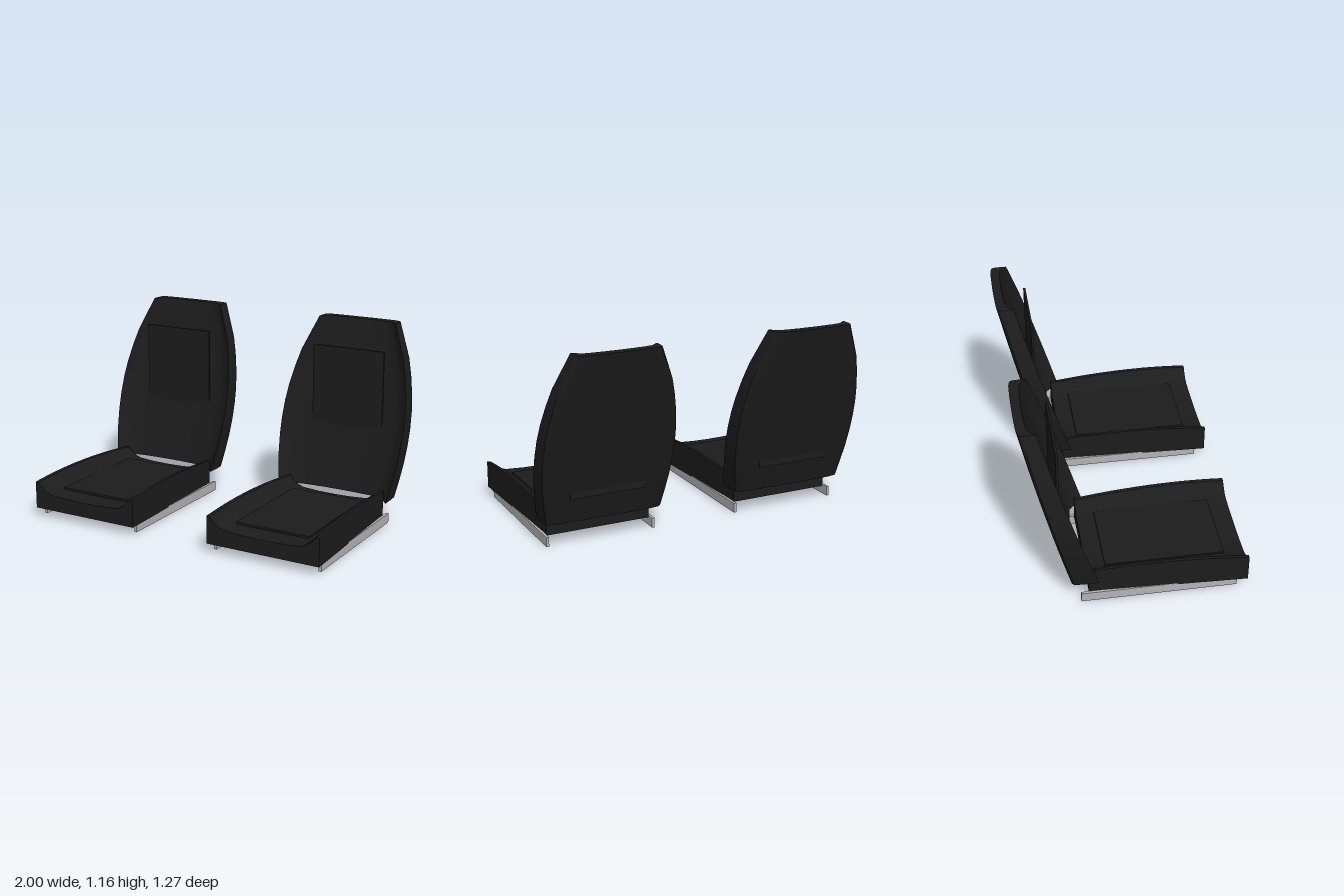
import * as THREE from 'three';
import { toCreasedNormals } from 'three/addons/utils/BufferGeometryUtils.js';

// Skin over equal-length cross-sections; `flat` gives the counter-clockwise 2D outline for the end caps
function loft(rings, flat, crease) {
  const n = rings[0].length, index = [];
  for (let i = 0; i < rings.length - 1; i++) {
    for (let j = 0; j < n; j++) {
      const a = i * n + j, b = i * n + (j + 1) % n;
      index.push(a, b, b + n, a, b + n, a + n);
    }
  }
  const cap = (ring, offset, flip) => {
    const faces = THREE.ShapeUtils.triangulateShape(ring.map(flat), []);
    for (const [a, b, c] of faces) {
      index.push(a + offset, (flip ? c : b) + offset, (flip ? b : c) + offset);
    }
  };
  cap(rings[0], 0, true);
  cap(rings[rings.length - 1], (rings.length - 1) * n, false);
  const g = new THREE.BufferGeometry();
  g.setAttribute('position', new THREE.Float32BufferAttribute(rings.flat(2), 3));
  g.setIndex(index);
  return toCreasedNormals(g, crease);
}

// Cushion: tapered toward the back, raised side bolsters around a dished centre
function cushionGeometry() {
  const half = [[1, 0.05], [1, 0.215], [0.94, 0.213], [0.86, 0.185], [0.77, 0.16], [0.66, 0.147], [0.33, 0.14]];
  const rings = [];
  for (let i = 0; i <= 12; i++) {
    const t = i / 12, z = -0.275 + 0.915 * t;
    const w = 0.317 + 0.034 * t;
    const crown = 0.235 - 0.21 * (z - 0.24) ** 2 / (z > 0.24 ? 1.6 : 1.9) - 0.215;
    const lift = y => y > 0.1 ? y + crown * (y > 0.17 ? 1 : 0.4) : y;
    const right = half.map(([x, y]) => [x * w, lift(y), z]);
    const left = right.slice().reverse().map(([x, y]) => [-x, y, z]);
    rings.push([...right, [0, lift(0.138), z], ...left]);
  }
  return loft(rings, p => new THREE.Vector2(p[0], p[1]), 0.6);
}

// Backrest: leaning shell with a bulging outline and side wings reaching forward
function backrestGeometry() {
  const outline = [[0.15, 0.355], [0.25, 0.373], [0.35, 0.388], [0.45, 0.397], [0.55, 0.4], [0.65, 0.396],
    [0.75, 0.384], [0.86, 0.362], [0.96, 0.335], [1.16, 0.25]];
  const rings = outline.map(([y, w]) => {
    const t = (y - 0.15) / 1.01;
    const tip = -0.22 - 0.31 * t;      // wing edge
    const inner = -0.325 - 0.258 * t;  // centre of the front
    const back = -0.385 - 0.25 * t;    // centre of the rear
    const hollow = (inner - tip) * -1;
    const rear = [[1, tip], [1, tip - (tip - back) * 0.45], [0.99, back + 0.025], [0.95, back + 0.012],
      [0.8, back + 0.004], [0.45, back + 0.001]].map(([x, z]) => [x * w, y, z]);
    const front = [[0.9, inner + hollow * 0.55], [0.8, inner + hollow * 0.2],
      [0.6, inner + hollow * 0.09], [0.3, inner + hollow * 0.02]].map(([x, z]) => [x * w, y, z]);
    const mirror = list => list.slice().reverse().map(([x, yy, z]) => [-x, yy, z]);
    const frontLeftToRight = front.map(([x, yy, z]) => [-x, yy, z]);
    return [...rear, [0, y, back], ...mirror(rear), ...frontLeftToRight, [0, y, inner], ...front.slice().reverse()];
  });
  return loft(rings, p => new THREE.Vector2(p[0], -p[2]), 0.7);
}

export function createModel() {
  const upholstery = new THREE.MeshStandardMaterial({ name: 'black upholstery', color: 0x1c1c1c });
  const metal = new THREE.MeshStandardMaterial({ name: 'rail metal', color: 0xb4b4b8 });
  const cushion = cushionGeometry(), backrest = backrestGeometry();
  const model = new THREE.Group();
  model.name = 'pairOfSeats';

  for (const side of [-1, 1]) {
    const seat = new THREE.Group();
    seat.name = side > 0 ? 'leftSeat' : 'rightSeat';
    seat.position.x = side * 0.6;
    const add = (name, geometry, material, x = 0, y = 0, z = 0) => {
      const mesh = new THREE.Mesh(geometry, material);
      mesh.name = name;
      mesh.position.set(x, y, z);
      seat.add(mesh);
    };
    add('cushion', cushion, upholstery);
    add('backrest', backrest, upholstery);
    // Flat insert panels, the upright one passing through the leaning backrest
    add('cushionPanel', new THREE.BoxGeometry(0.46, 0.013, 0.69), upholstery, 0, 0.157, 0.175);
    add('backrestPanel', new THREE.BoxGeometry(0.46, 0.705, 0.013), upholstery, 0, 0.655, -0.425);
    // Floor rails
    for (const s of [-1, 1]) {
      add(s > 0 ? 'leftRail' : 'rightRail', new THREE.BoxGeometry(0.016, 0.058, 0.9), metal, s * 0.328, 0.029, 0.13);
    }
    model.add(seat);
  }
  return model;
}
